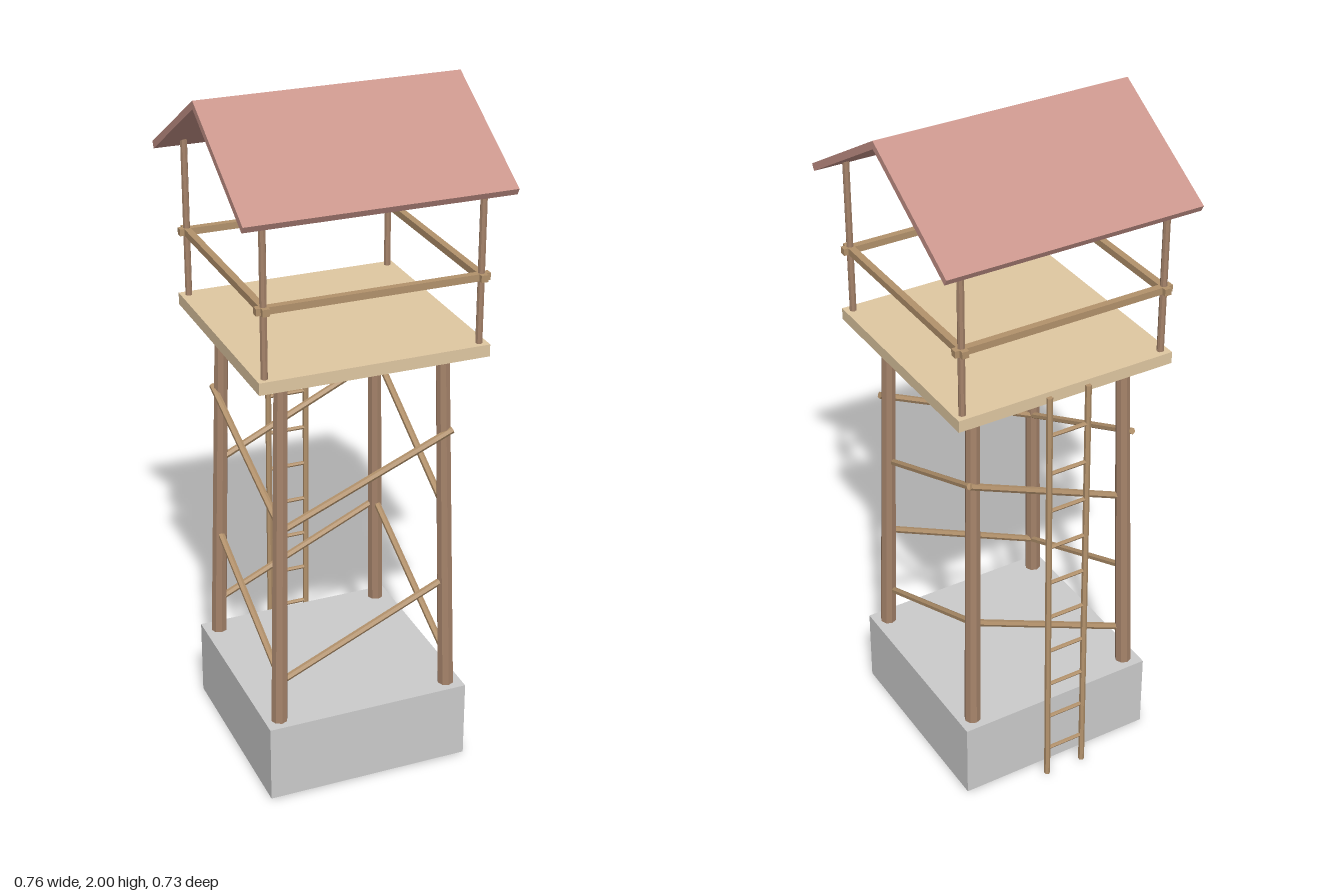
import * as THREE from 'three';

const material = (color) => new THREE.MeshStandardMaterial({ color, flatShading: true });

export function createModel() {
  const tower = new THREE.Group();
  tower.name = 'watchtower';

  const concrete = material(0xcccccc);
  const darkWood = material(0xa5836a);
  const wood = material(0xb3926c);
  const planks = material(0xe0c8a2);
  const tiles = material(0xc8948a);

  const add = (name, geometry, mat, parent = tower) => {
    const mesh = new THREE.Mesh(geometry, mat);
    mesh.name = name;
    parent.add(mesh);
    return mesh;
  };
  const box = (name, size, pos, mat, parent) => {
    const mesh = add(name, new THREE.BoxGeometry(...size), mat, parent);
    mesh.position.set(...pos);
    return mesh;
  };
  // Round pole between two points, r0 at the start and r1 at the end
  const pole = (name, from, to, r0, r1, sides, mat, parent) => {
    const a = new THREE.Vector3(...from);
    const b = new THREE.Vector3(...to);
    const dir = b.clone().sub(a);
    const mesh = add(name, new THREE.CylinderGeometry(r1, r0, dir.length(), sides), mat, parent);
    mesh.position.copy(a).add(b).multiplyScalar(0.5);
    mesh.quaternion.setFromUnitVectors(new THREE.Vector3(0, 1, 0), dir.normalize());
    return mesh;
  };

  // Foundation and platform
  box('foundation', [0.61, 0.236, 0.61], [0, 0.122, 0], concrete);
  box('platform', [0.66, 0.035, 0.66], [0, 1.322, 0], planks);

  // Leaning legs and the roof posts above them
  for (const sx of [-1, 1]) {
    for (const sz of [-1, 1]) {
      pole('leg', [0.267 * sx, 0.001, 0.267 * sz], [0.235 * sx, 1.31, 0.235 * sz], 0.025, 0.02, 8, darkWood);
      pole('roofPost', [0.307 * sx, 1.33, 0.307 * sz], [0.307 * sx, 1.8, 0.307 * sz], 0.01, 0.01, 8, darkWood);
    }
  }

  // Diagonal braces, two levels on every side
  const braces = new THREE.Group();
  braces.name = 'braces';
  tower.add(braces);
  const levels = [
    { y0: 0.36, y1: 0.59, r0: 0.25, r1: 0.254 },
    { y0: 0.84, y1: 1.066, r0: 0.24, r1: 0.26 },
  ];
  for (const { y0, y1, r0, r1 } of levels) {
    for (const s of [-1, 1]) {
      pole('crossBrace', [-r0, y0, r0 * s], [r1, y1, r1 * s], 0.01, 0.01, 6, wood, braces);
      pole('sideBrace', [r0 * s, y0, r0], [r1 * s, y1, -r1], 0.01, 0.01, 6, wood, braces);
    }
  }

  // Handrails
  for (const s of [-1, 1]) {
    box('handrail', [0.66, 0.02, 0.02], [0, 1.531, 0.307 * s], wood);
    box('sideHandrail', [0.02, 0.02, 0.66], [0.307 * s, 1.531, 0], wood);
  }

  // Gabled roof
  const profile = new THREE.Shape([
    [0, 2], [-0.366, 1.783], [-0.356, 1.765], [0, 1.977], [0.356, 1.765], [0.366, 1.783],
  ].map(([z, y]) => new THREE.Vector2(z, y)));
  const roof = new THREE.ExtrudeGeometry(profile, { depth: 0.756, bevelEnabled: false });
  roof.translate(0, 0, -0.378).rotateY(Math.PI / 2);
  add('roof', roof, tiles);

  // Ladder at the back
  const ladder = new THREE.Group();
  ladder.name = 'ladder';
  tower.add(ladder);
  const ladderZ = (y) => -0.353 + 0.0135 * y;
  for (const s of [-1, 1]) {
    pole('ladderRail', [0.06 * s, 0, ladderZ(0)], [0.06 * s, 1.325, ladderZ(1.325)], 0.009, 0.009, 6, wood, ladder);
  }
  for (let i = 0; i < 10; i++) {
    const y = 0.098 + 0.123 * i;
    pole('rung', [-0.06, y, ladderZ(y)], [0.06, y, ladderZ(y)], 0.006, 0.006, 6, wood, ladder);
  }

  return tower;
}
